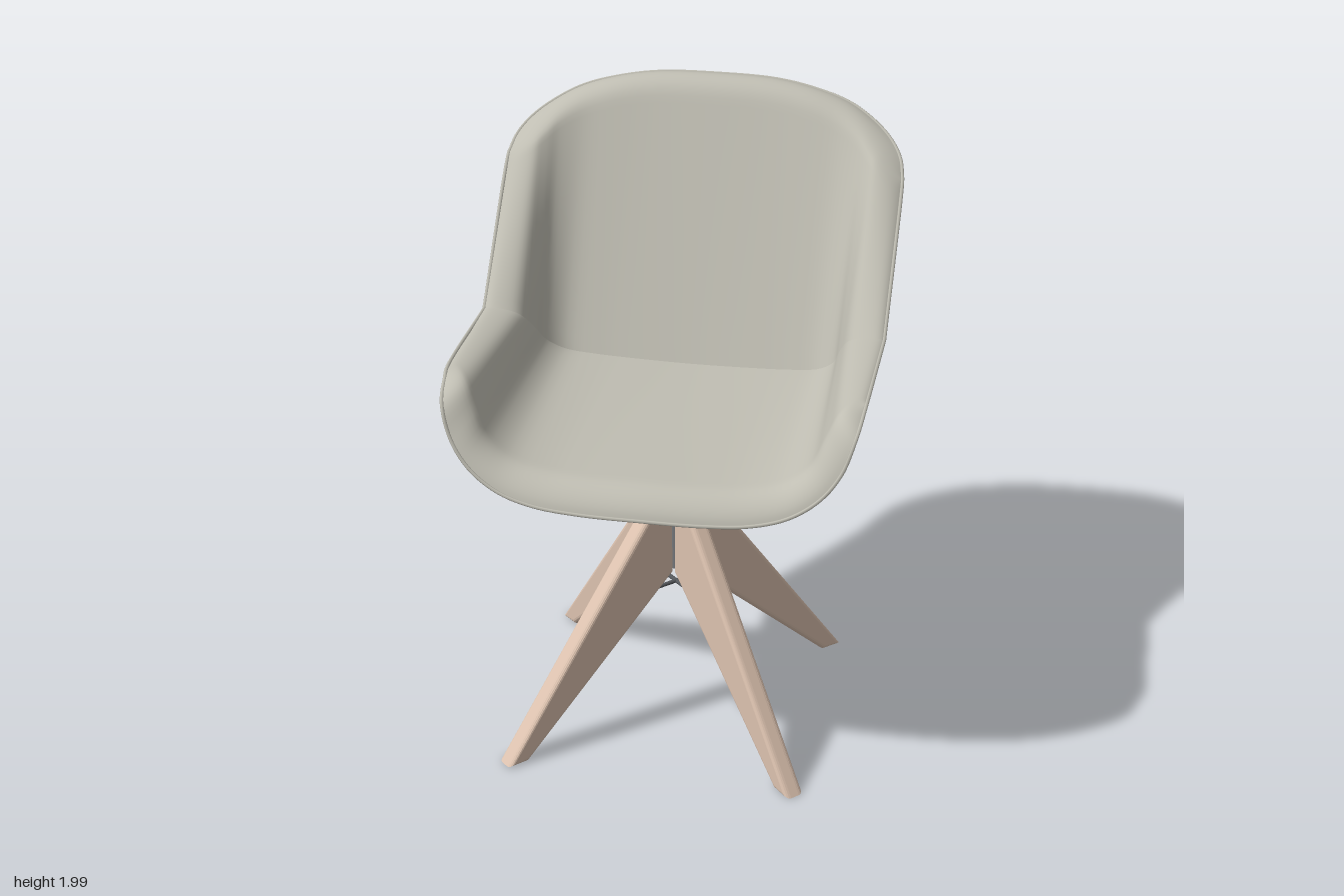
import * as THREE from 'three';

const mat = (name, color, side = THREE.FrontSide) => {
  const m = new THREE.MeshStandardMaterial({ color, side });
  m.name = name;
  return m;
};

// Symmetric curve from points running from the middle (x = 0) out to +x
function mirrored(points) {
  const half = points.map(p => new THREE.Vector3(...p));
  const left = half.slice(1).reverse().map(p => new THREE.Vector3(-p.x, p.y, p.z));
  return new THREE.CatmullRomCurve3([...left, ...half]);
}

// The seat and the back meet in one sloping mitre plane
const onMitre = ([x, y]) => [x, y, -0.29 + (y - 1.02) * 0.78];

const outerMitre = mirrored([[0, 1.02], [0.2, 1.022], [0.33, 1.035], [0.44, 1.06],
  [0.53, 1.12], [0.59, 1.21], [0.63, 1.31], [0.65, 1.37]].map(onMitre));
const innerMitre = mirrored([[0, 1.145], [0.19, 1.15], [0.32, 1.158], [0.42, 1.175],
  [0.475, 1.22], [0.5, 1.285], [0.54, 1.36], [0.6, 1.405]].map(onMitre));

const outerFront = mirrored([[0, 1.03, 0.67], [0.2, 1.03, 0.665], [0.34, 1.04, 0.655], [0.45, 1.07, 0.64],
  [0.54, 1.13, 0.62], [0.6, 1.21, 0.595], [0.635, 1.31, 0.555], [0.65, 1.37, 0.44]]);
const innerFront = mirrored([[0, 1.11, 0.655], [0.19, 1.11, 0.65], [0.32, 1.118, 0.64], [0.43, 1.145, 0.625],
  [0.5, 1.2, 0.605], [0.54, 1.28, 0.575], [0.575, 1.355, 0.53], [0.605, 1.4, 0.44]]);

const outerTop = mirrored([[0, 1.985, -0.67], [0.2, 1.98, -0.665], [0.34, 1.96, -0.645], [0.45, 1.932, -0.615],
  [0.54, 1.89, -0.565], [0.6, 1.85, -0.51], [0.635, 1.81, -0.455], [0.65, 1.765, -0.39]]);
const innerTop = mirrored([[0, 2.025, -0.605], [0.19, 2.02, -0.6], [0.32, 2.0, -0.58], [0.42, 1.965, -0.55],
  [0.49, 1.925, -0.505], [0.53, 1.885, -0.46], [0.565, 1.845, -0.415], [0.6, 1.805, -0.37]]);

// Ruled surface between two curves
const ruled = (a, b) => (u, v) => a.getPoint((u + 1) / 2).lerp(b.getPoint((u + 1) / 2), v);

// Rounds the padding down to the shell along the rim
const roundOver = (d, r) => (d >= r ? 1 : Math.sqrt(Math.max(0, 1 - (1 - d / r) ** 2)));
const padded = (outer, inner) => (u, v) => {
  const k = roundOver(1 - Math.abs(u), 0.2) * roundOver(1 - v, 0.1);
  return outer(u, v).lerp(inner(u, v), k);
};

// Grid mesh of f(u, v), denser towards the rim
function patch(f, flip) {
  const nu = 72, nv = 28, pos = [], idx = [];
  for (let j = 0; j <= nv; j++) {
    const v = Math.sin((j / nv) * Math.PI / 2);
    for (let i = 0; i <= nu; i++) {
      const u = Math.sin((i / nu - 0.5) * Math.PI);
      pos.push(...f(u, v).toArray());
      if (i < nu && j < nv) {
        const a = j * (nu + 1) + i, b = a + 1, c = a + nu + 1, d = c + 1;
        if (flip) idx.push(a, c, b, b, c, d);
        else idx.push(a, b, c, b, d, c);
      }
    }
  }
  const g = new THREE.BufferGeometry();
  g.setAttribute('position', new THREE.Float32BufferAttribute(pos, 3));
  g.setIndex(idx);
  g.computeVertexNormals();
  return g;
}

export function createModel() {
  const model = new THREE.Group();
  model.name = 'swivelChair';
  const fabric = mat('greyFabric', 0xbfbdb2, THREE.DoubleSide);
  const leather = mat('brownShell', 0x9c7e60, THREE.DoubleSide);
  const wood = mat('paleWood', 0xdcc2af);
  const metal = mat('greyMetal', 0x777a7e);
  const dark = mat('darkMetal', 0x55585c);

  const add = (name, geometry, material, parent = model) => {
    const m = new THREE.Mesh(geometry, material);
    m.name = name;
    parent.add(m);
    return m;
  };

  // Upholstered shell
  const seatOuter = ruled(outerMitre, outerFront), seatInner = ruled(innerMitre, innerFront);
  const backOuter = ruled(outerMitre, outerTop), backInner = ruled(innerMitre, innerTop);
  add('seatShell', patch(seatOuter, false), leather);
  add('seatPad', patch(padded(seatOuter, seatInner), true), fabric);
  add('backShell', patch(backOuter, true), leather);
  add('backPad', patch(padded(backOuter, backInner), false), fabric);

  // Piping around the rim of each half
  for (const [name, end] of [['seatPiping', outerFront], ['backPiping', outerTop]]) {
    const rim = [outerMitre.getPoint(0), ...end.getPoints(60), outerMitre.getPoint(1)];
    add(name, new THREE.TubeGeometry(new THREE.CatmullRomCurve3(rim), 140, 0.006, 6), fabric);
  }

  // Base, centred slightly forward
  const base = new THREE.Group();
  base.name = 'base';
  base.position.z = 0.075;
  model.add(base);

  add('mountPlate', new THREE.BoxGeometry(0.34, 0.012, 0.34), dark, base).position.y = 1.012;
  for (const sx of [-1, 1]) for (const sz of [-1, 1]) {
    add('plateBolt', new THREE.CylinderGeometry(0.022, 0.022, 0.014, 16), metal, base)
      .position.set(sx * 0.145, 1.001, sz * 0.145);
  }

  // Swivel bearing, shaft, collar and post
  const profile = [[0, 0.53], [0.022, 0.53], [0.022, 0.82], [0.055, 0.82], [0.055, 0.88], [0.024, 0.88],
    [0.024, 0.92], [0.036, 0.925], [0.045, 0.955], [0.075, 0.965], [0.105, 0.995], [0.105, 1.007], [0, 1.007]];
  const turned = new THREE.LatheGeometry(profile.map(p => new THREE.Vector2(...p)), 32).toNonIndexed();
  turned.computeVertexNormals();
  add('swivelPost', turned, metal, base);

  // Four splayed legs on the diagonals
  const side = new THREE.Shape([[0.03, 0.53], [0.605, 0], [0.68, 0], [0.06, 0.86], [0.03, 0.86]]
    .map(p => new THREE.Vector2(...p)));
  const legShape = new THREE.ExtrudeGeometry(side, {
    depth: 0.03, bevelEnabled: true, bevelThickness: 0.018, bevelSize: 0.016, bevelOffset: -0.016, bevelSegments: 4,
  });
  legShape.translate(0, 0, -0.015);
  for (let i = 0; i < 4; i++) {
    add('leg', legShape, wood, base).rotation.y = Math.PI / 4 + i * Math.PI / 2;
  }

  // Thin cross brace between the legs
  for (const s of [-1, 1]) {
    const rod = add('braceRod', new THREE.CylinderGeometry(0.007, 0.007, 0.24, 10), dark, base);
    rod.position.y = 0.472;
    rod.rotation.set(0, s * Math.PI / 4, Math.PI / 2);
  }
  return model;
}
